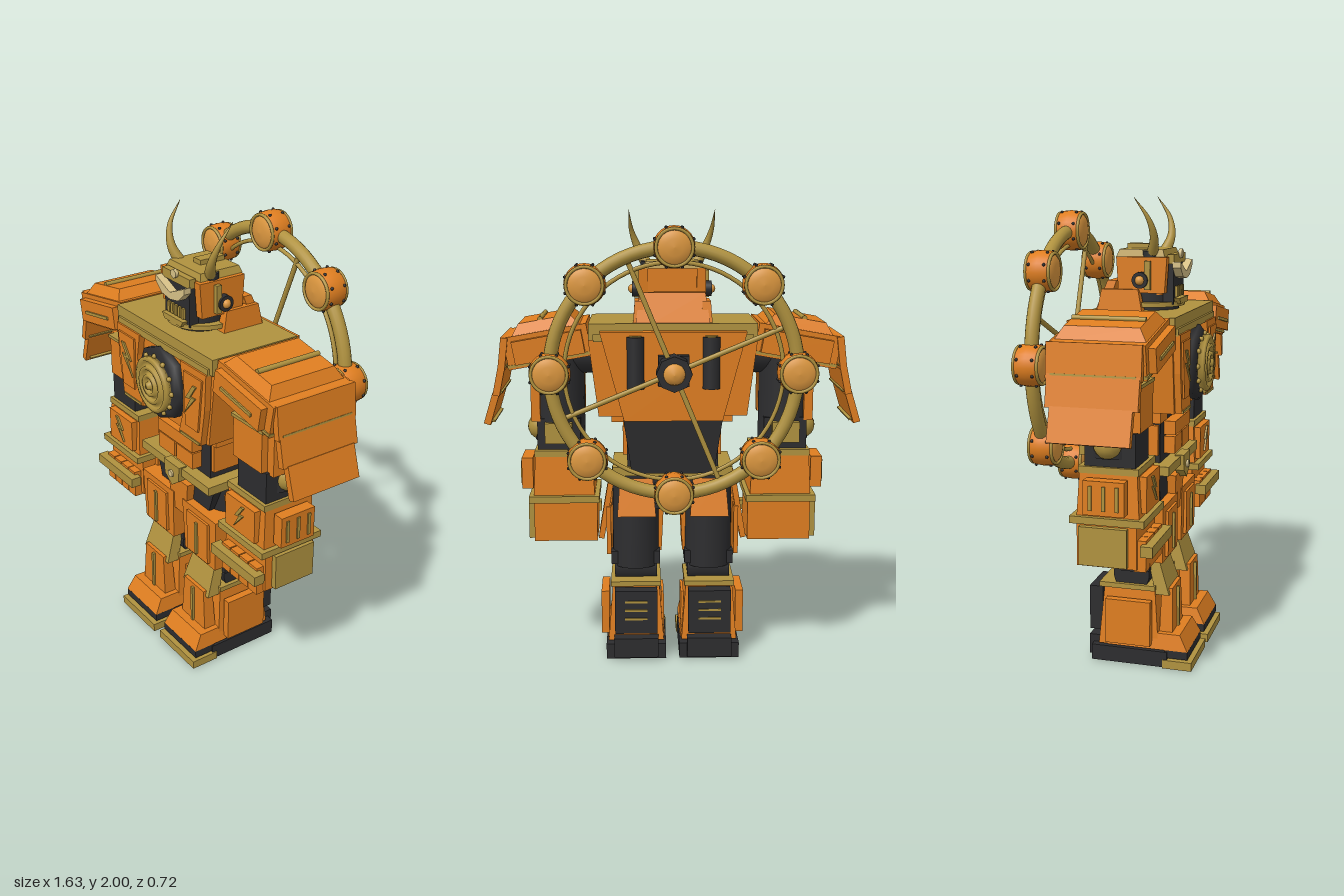
import * as THREE from 'three';

const mat = (name, color) => {
  const m = new THREE.MeshStandardMaterial({ color });
  m.name = name;
  return m;
};

export function createModel() {
  const orange = mat('orange', 0xdf7e20), gold = mat('gold', 0xb0923f);
  const dark = mat('charcoal', 0x2d2d2f), amber = mat('amber', 0xdc973f), pale = mat('pale gold', 0xd8c288);
  const model = new THREE.Group();
  model.name = 'robot';

  const put = (name, geo, m, x, y, z, rx = 0, ry = 0, rz = 0) => {
    const mesh = new THREE.Mesh(geo, m);
    mesh.name = name;
    mesh.position.set(x, y, z);
    mesh.rotation.set(rx, ry, rz);
    model.add(mesh);
    return mesh;
  };
  const box = (name, m, w, h, d, x, y, z, rx, ry, rz) => put(name, new THREE.BoxGeometry(w, h, d), m, x, y, z, rx, ry, rz);
  // Box whose top is scaled by tx, tz and shifted by dz
  const taper = (name, m, w, h, d, tx, tz, dz, x, y, z, rx, ry, rz) => {
    const g = new THREE.BoxGeometry(w, h, d), p = g.attributes.position;
    for (let i = 0; i < p.count; i++)
      if (p.getY(i) > 0) p.setXYZ(i, p.getX(i) * tx, p.getY(i), p.getZ(i) * tz + dz);
    g.computeVertexNormals();
    return put(name, g, m, x, y, z, rx, ry, rz);
  };
  const tube = (name, m, r, h, x, y, z, rx, rz, n = 24) =>
    put(name, new THREE.CylinderGeometry(r, r, h, n), m, x, y, z, rx, 0, rz);
  const ball = (name, m, r, x, y, z) => put(name, new THREE.SphereGeometry(r, 16, 10), m, x, y, z);
  // Lathe profile of [radius, height], turned so its axis points along z
  const turned = (name, m, pts, x, y, z, rx = Math.PI / 2, n = 28) =>
    put(name, new THREE.LatheGeometry(pts.map(p => new THREE.Vector2(...p)), n), m, x, y, z, rx);
  const plate = (name, m, pts, depth, x, y, z, s = 1) => {
    const shape = new THREE.Shape(pts.map(p => new THREE.Vector2(p[0] * s, p[1])));
    return put(name, new THREE.ExtrudeGeometry(shape, { depth, bevelEnabled: false }), m, x, y, z);
  };
  const bolt = (s, k, x, y, z) => plate('lightningInlay', gold,
    [[.045, .075], [.02, .075], [-.035, .0], [.005, .008], [-.045, -.075], [.04, .02], [0, .015]].map(p => [p[0] * k, p[1] * k]), .009, x, y, z, s);

  // Torso
  taper('chest', orange, .64, .33, .40, 1.13, 1, 0, 0, 1.295, .06);
  box('chestTop', gold, .72, .07, .42, 0, 1.495, .06);
  box('collarEdge', gold, .68, .03, .44, 0, 1.47, .06);
  turned('chestHousing', dark, [[0, 0], [.165, 0], [.165, .04], [.14, .06], [0, .06]], 0, 1.3, .25, Math.PI / 2, 8);
  turned('chestTarget', gold, [[0, 0], [.122, 0], [.122, .025], [.106, .032], [.1, .02], [.085, .02], [.082, .034], [.068, .034],
    [.064, .022], [.052, .022], [.048, .038], [.034, .038], [.03, .026], [.02, .026], [.016, .045], [0, .048]], 0, 1.3, .308, Math.PI / 2, 40);
  for (let i = 0; i < 12; i++) {
    const a = i * Math.PI / 6;
    ball('targetRivet', gold, .011, .127 * Math.cos(a), 1.3 + .127 * Math.sin(a), .312);
  }
  box('waistCore', dark, .4, .28, .24, 0, 1.02, .05);
  box('waistBlockTop', orange, .27, .06, .06, 0, 1.03, .19);
  for (const s of [-1, 1]) {
    plate('chestPanel', orange, [[.155, .16], [.34, .16], [.33, 0], [.3, -.17], [.14, -.17], [.175, -.06], [.175, .06]], .03, 0, 1.3, .258, s);
    plate('chestInset', orange, [[.19, .13], [.32, .13], [.29, -.11], [.2, -.11]], .008, 0, 1.3, .288, s);
    bolt(s, .95, s * .245, 1.32, .294);
    box('chestLowerTrim', gold, .14, .012, .035, s * .225, 1.135, .275);
    box('ribBlock', orange, .11, .07, .18, s * .215, 1.11, .1);
    box('waistBlock', orange, .125, .075, .055, s * .07, .955, .19);
    box('waistSide', orange, .05, .13, .15, s * .195, .99, .09);
  }
  taper('lowerBack', dark, .36, .26, .1, 1.2, 1.4, -.01, 0, 1.0, -.07);

  // Pelvis
  box('belt', gold, .53, .04, .31, 0, .87, .07);
  taper('pelvis', dark, .36, .16, .24, 1.3, 1, 0, 0, .775, .05);
  plate('buckle', gold, [[-.06, .05], [.06, .05], [.055, -.02], [0, -.06], [-.055, -.02]], .04, 0, .845, .2);
  tube('buckleStud', pale, .018, .012, 0, .845, .243, Math.PI / 2, 0, 6);
  taper('crotchPlate', orange, .1, .17, .1, 1.6, 1.2, 0, 0, .72, .15);

  // Legs
  for (const s of [-1, 1]) {
    const x = s * .165;
    box('hipFlap', orange, .025, .28, .18, s * .295, .69, .05, 0, 0, s * .17);
    taper('backSkirt', orange, .17, .17, .025, .85, 1, 0, s * .16, .76, -.115, .25);
    tube('thighCore', dark, .105, .45, x, .64, .04);
    taper('thighPlate', orange, .235, .25, .17, 1.1, 1.05, 0, x, .595, .12);
    box('thighPanel', orange, .16, .2, .02, x, .59, .21);
    box('thighRidge', gold, .014, .16, .016, x, .585, .222);
    box('thighSide', orange, .02, .22, .2, s * .285, .59, .05);
    box('kneeBlock', dark, .22, .06, .17, x, .455, .06);
    tube('kneeJoint', dark, .08, .19, x, .40, .06, 0, Math.PI / 2);
    taper('kneeGuard', gold, .2, .17, .06, .8, .8, -.05, x, .405, .2);
    taper('shin', orange, .25, .26, .27, .84, .84, 0, x, .21, .055);
    box('shinTrim', gold, .225, .022, .25, x, .348, .045);
    taper('shinPlate', orange, .19, .24, .06, .8, .8, 0, x, .225, .215);
    box('shinRidge', gold, .014, .19, .02, x, .235, .243);
    box('anklePanel', orange, .035, .2, .2, s * .305, .2, .06);
    box('innerAnklePanel', orange, .012, .18, .16, s * .045, .2, .06);
    taper('foot', orange, .26, .07, .36, .9, .85, -.01, x, .115, .14);
    box('sole', dark, .27, .07, .34, x, .038, .06);
    box('toeSole', dark, .26, .035, .1, x, .063, .27);
    box('toeRim', gold, .28, .038, .13, x, .019, .275);
    box('heel', dark, .2, .09, .06, x, .06, -.1);
    box('calfPack', dark, .19, .2, .06, x, .23, -.1);
    for (const y of [.2, .24, .28]) box('calfVent', gold, .1, .009, .008, x, y, -.131);
  }

  // Arms
  for (const s of [-1, 1]) {
    const x = s * .5;
    tube('upperArm', dark, .112, .45, x, 1.22, .06);
    tube('shoulderJoint', dark, .09, .2, s * .4, 1.38, .06, 0, Math.PI / 2);
    box('upperArmFront', orange, .19, .18, .06, s * .485, 1.19, .16);
    box('upperArmSide', orange, .04, .2, .2, s * .6, 1.19, .06);
    box('upperArmTrim', gold, .21, .014, .07, s * .485, 1.285, .16);
    box('elbow', dark, .19, .14, .21, x, 1.03, .07);
    ball('elbowCap', gold, .06, s * .585, 1.05, .06);
    box('elbowBracket', gold, .12, .09, .05, x, 1.04, -.045);
    box('cuff', gold, .255, .028, .25, s * .48, .947, .065);
    taper('forearm', orange, .27, .18, .26, .93, .92, 0, s * .48, .847, .065);
    box('forearmPanel', orange, .2, .15, .03, s * .475, .85, .2);
    bolt(s, .75, s * .475, .855, .216);
    box('forearmGuard', orange, .05, .14, .17, s * .645, .85, .065);
    for (const z of [.01, .065, .12]) box('guardRib', gold, .012, .1, .014, s * .67, .85, z);
    box('wristBand', gold, .31, .03, .31, s * .48, .745, .065);
    box('fist', orange, .28, .18, .25, s * .475, .64, .06);
    box('fistSide', gold, .03, .16, .2, s * .625, .64, .05);
    for (let i = 0; i < 4; i++) box('finger', orange, .058, .13, .05, s * (.385 + i * .063), .605, .195);
    box('knuckleGuard', gold, .31, .045, .05, s * .48, .635, .23);

    // Shoulder pad with layered outer flaps
    const t = s * -.175;
    box('shoulderPad', orange, .36, .14, .38, s * .535, 1.43, .06, 0, 0, t);
    box('padFace', orange, .3, .1, .44, s * .53, 1.43, .06, 0, 0, t);
    box('padRim', gold, .365, .012, .39, s * .525, 1.375, .06, 0, 0, t);
    taper('padCrown', orange, .3, .05, .37, .75, .82, 0, s * .545, 1.52, .06, 0, 0, t);
    box('padStripe', gold, .2, .014, .008, s * .53, 1.425, .283, 0, 0, t);
    tube('padRidge', gold, .011, .3, s * .567, 1.545, .06, Math.PI / 2, 0, 12);
    [[.725, 1.4, .14, .38], [.745, 1.285, .13, .37], [.782, 1.16, .14, .33]].forEach(([fx, fy, h, d], i) => {
      box('shoulderFlap', orange, .03, h, d, s * fx, fy, .05, 0, 0, s * (.12 + i * .09));
      box('flapTrim', gold, .036, .008, d - .04, s * (fx + .005), fy - h * .38, .05, 0, 0, s * (.12 + i * .09));
    });
  }

  // Neck and head
  tube('neckRing', gold, .15, .02, 0, 1.555, .07);
  tube('neck', dark, .115, .1, 0, 1.57, .08);
  box('helmet', orange, .21, .17, .18, 0, 1.68, .06);
  box('face', dark, .18, .17, .09, 0, 1.64, .15);
  taper('helmetTop', gold, .25, .03, .21, .9, .9, 0, 0, 1.77, .06);
  box('helmetCrest', gold, .05, .03, .12, 0, 1.79, .035);
  box('forehead', gold, .2, .04, .03, 0, 1.745, .185);
  tube('foreheadGem', pale, .02, .015, 0, 1.765, .205, Math.PI / 2, 0, 6);
  taper('jaw', gold, .12, .025, .06, 1.3, 1, 0, 0, 1.568, .19);
  for (let i = 0; i < 5; i++) box('tooth', gold, .016, .045, .015, (i - 2) * .026, 1.607, .198);
  for (const s of [-1, 1]) {
    plate('brow', pale, [[0, 0], [.105, .045], [.105, .02], [.06, -.02], [0, -.03]], .035, 0, 1.69, .195, s);
    taper('cheek', orange, .04, .15, .2, 1, 1.1, 0, s * .125, 1.68, .07);
    box('cheekEdge', gold, .04, .12, .025, s * .145, 1.68, .1);
    tube('ear', dark, .034, .05, s * .15, 1.66, .07, 0, Math.PI / 2);
    ball('earCap', amber, .02, s * .172, 1.66, .07);
    taper('collarSide', orange, .05, .1, .2, .7, .8, 0, s * .145, 1.57, -.02);
    // Horn: tube narrowed to a point along its length
    const curve = new THREE.CatmullRomCurve3([[.1, 1.75, .1], [.145, 1.83, .125], [.175, 1.91, .11], [.187, 2, .05]]
      .map(p => new THREE.Vector3(p[0] * s, p[1], p[2])));
    const g = new THREE.TubeGeometry(curve, 20, .027, 12), p = g.attributes.position, v = new THREE.Vector3();
    for (let i = 0; i < p.count; i++) {
      const u = Math.floor(i / 13) / 20, c = curve.getPointAt(u);
      v.fromBufferAttribute(p, i).sub(c).multiplyScalar(1 - u * .97).add(c);
      p.setXYZ(i, v.x, v.y, v.z);
    }
    put('horn', g, gold, 0, 0, 0);
    tube('hornSocket', dark, .036, .03, s * .1, 1.765, .1);
  }
  taper('neckGuard', orange, .33, .17, .05, .85, .8, .06, 0, 1.57, -.12);

  // Backpack and exhausts
  taper('backpack', orange, .42, .38, .07, 1.48, 1, 0, 0, 1.31, -.17);
  box('hubMount', dark, .13, .13, .08, 0, 1.34, -.21);
  for (const s of [-1, 1]) {
    tube('exhaust', dark, .037, .22, s * .16, 1.37, -.2);
    tube('exhaustCore', gold, .027, .006, s * .16, 1.482, -.2);
  }

  // Wheel of drums
  const cy = 1.34, cz = -.285, R = .515;
  put('wheelRing', new THREE.TorusGeometry(R, .029, 14, 72), gold, 0, cy, cz);
  put('innerRing', new THREE.TorusGeometry(.455, .009, 8, 72), gold, 0, cy, cz);
  tube('wheelHub', dark, .075, .1, 0, cy, cz, Math.PI / 2, 0, 8);
  turned('hubCap', amber, [[.045, 0], [.04, .015], [.02, .025], [0, .028]], 0, cy, cz - .05, -Math.PI / 2);
  for (let i = 0; i < 4; i++) {
    const a = (i + .75) * Math.PI / 2;
    tube('spoke', gold, .011, .47, .25 * Math.cos(a), cy + .25 * Math.sin(a), cz, 0, a - Math.PI / 2, 10);
  }
  for (let i = 0; i < 8; i++) {
    const a = i * Math.PI / 4, x = R * Math.cos(a), y = cy + R * Math.sin(a);
    turned('drum', orange, [[.074, -.05], [.083, -.04], [.087, 0], [.083, .04], [.074, .05]], x, y, cz);
    for (const s of [-1, 1]) {
      turned('drumCap', amber, [[.072, .046], [.06, .056], [.035, .063], [0, .066]], x, y, cz, s * Math.PI / 2);
      put('drumRim', new THREE.TorusGeometry(.075, .007, 8, 28), gold, x, y, cz + s * .05);
      for (let k = 0; k < 8; k++) {
        const b = (k + .5) * Math.PI / 4;
        put('drumRivet', new THREE.SphereGeometry(.007, 6, 4), dark, x + .085 * Math.cos(b), y + .085 * Math.sin(b), cz + s * .033);
      }
    }
  }
  return model;
}
